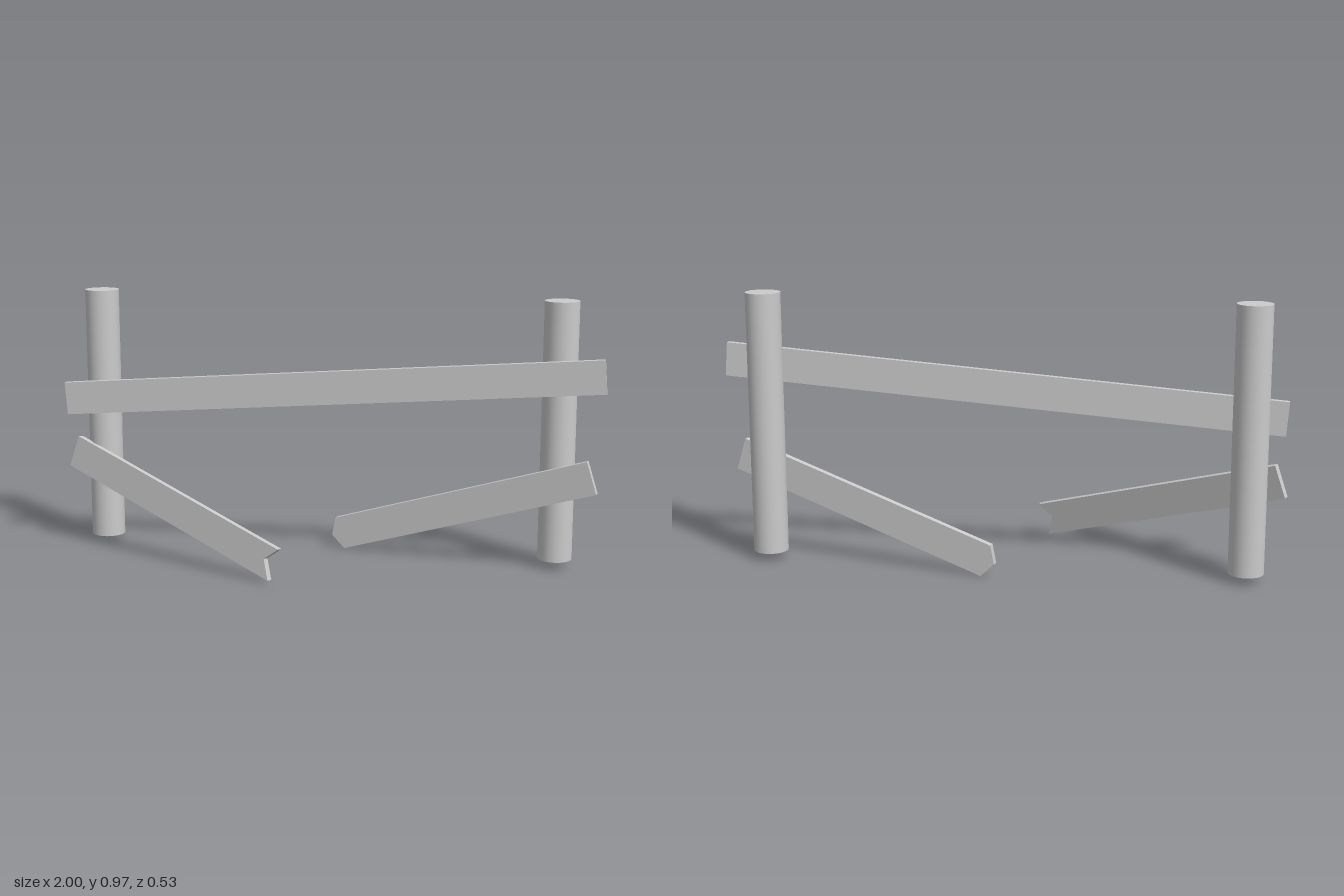
import * as THREE from 'three';

const material = new THREE.MeshStandardMaterial({ color: 0xcccccc });
const THICK = 0.023;
const WIDTH = 0.121;

// Flat plank cut from an outline (x along the plank, y across it), centred on its thickness
function plank(name, outline, position, [pitch, yaw, roll]) {
  const shape = new THREE.Shape(outline.map(([x, y]) => new THREE.Vector2(x, y)));
  const geometry = new THREE.ExtrudeGeometry(shape, { depth: THICK, bevelEnabled: false });
  geometry.translate(0, 0, -THICK / 2);
  const mesh = new THREE.Mesh(geometry, material);
  mesh.name = name;
  mesh.position.set(...position);
  mesh.rotation.set(pitch, yaw, roll, 'ZYX');
  return mesh;
}

// Rectangle outline with an extra middle point on each end: positive x offsets move it right
function outline(length, leftOffset, rightOffset) {
  const l = length / 2, w = WIDTH / 2;
  const points = [[-l, -w], [l, -w]];
  if (rightOffset) points.push([l + rightOffset, 0.004]);
  points.push([l, w], [-l, w]);
  if (leftOffset) points.push([-l + leftOffset, 0]);
  return points;
}

export function createModel() {
  const model = new THREE.Group();
  model.name = 'brokenFence';

  // Round posts
  for (const [name, x] of [['rightPost', -0.87], ['leftPost', 0.83]]) {
    const post = new THREE.Mesh(new THREE.CylinderGeometry(0.062, 0.062, 0.938, 32), material);
    post.name = name;
    post.position.set(x, 0.505, -0.163);
    model.add(post);
  }

  // Intact upper rail
  model.add(plank('upperRail', outline(1.993, 0, 0), [0, 0.645, -0.091], [0, 0, 0.0756]));

  // Snapped lower rail: one half ends in a notch, the other in a matching point
  model.add(plank('notchedRail', outline(0.99, 0, -0.043), [-0.546, 0.217, 0.063], [0, -0.4, -0.318]));
  model.add(plank('pointedRail', outline(1.0, -0.033, 0), [0.491, 0.214, -0.156], [-0.06, -0.187, 0.312]));

  return model;
}
